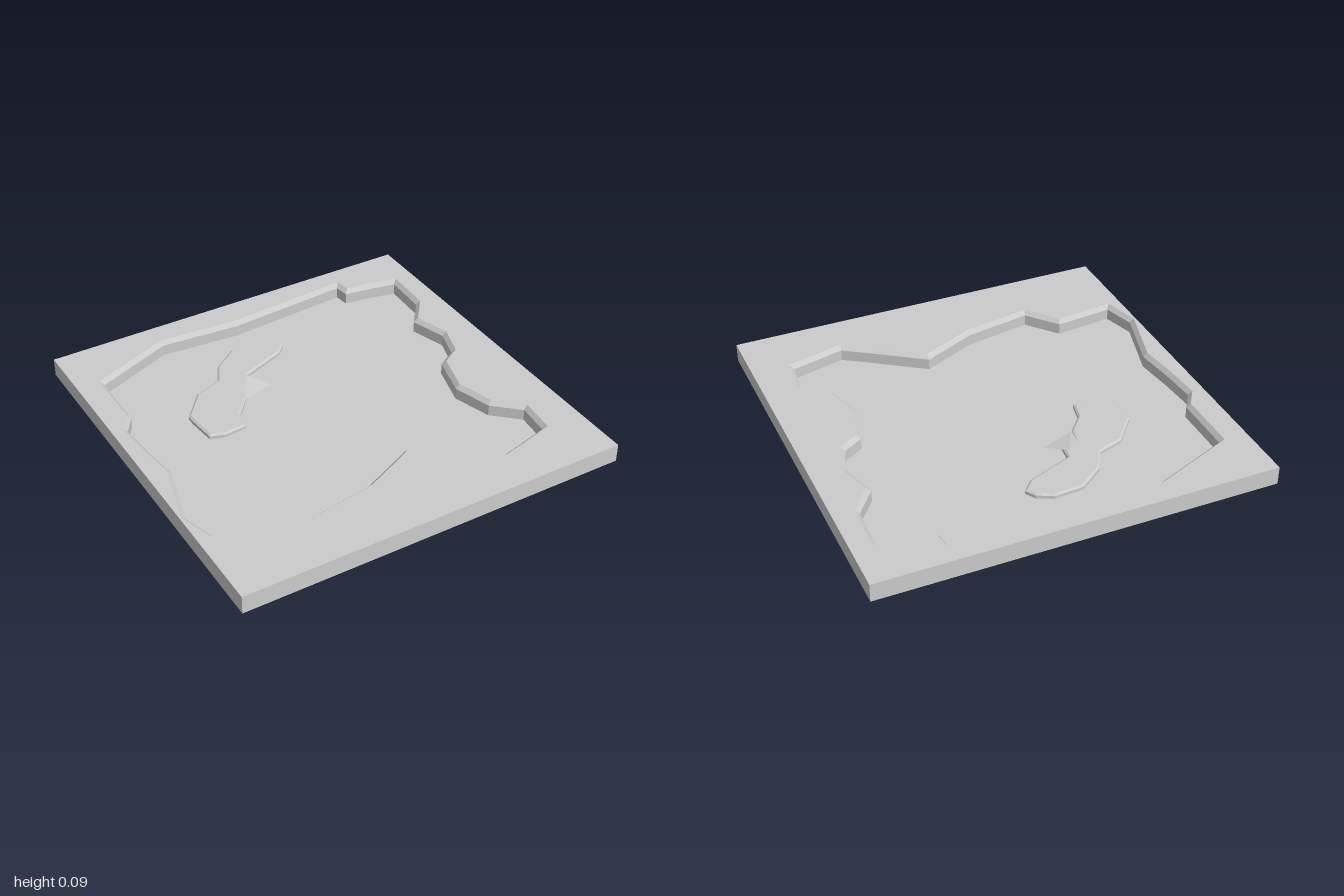
import * as THREE from 'three';

const TOP = 0.094, FLOOR = 0.014;
const material = new THREE.MeshStandardMaterial({ color: 0xcccccc, flatShading: true });

// Outlines as [x, z], clockwise seen from above
const square = [[-1, -1], [1, -1], [1, 1], [-1, 1]];
const shore = [
  [-0.88, -0.71], [-0.46, -0.88], [-0.05, -0.845], [0.61, -0.895], [0.62, -0.815],
  [0.75, -0.795], [0.9, -0.765], [0.89, -0.51], [0.79, -0.38], [0.845, -0.2],
  [0.795, -0.04], [0.695, 0.02], [0.64, 0.22], [0.695, 0.405], [0.825, 0.525],
  [0.805, 0.715], [0.51, 0.79], [0.36, 0.69], [0.13, 0.53], [-0.14, 0.655],
  [-0.5, 0.72], [-0.63, 0.565], [-0.935, 0.595], [-0.99, 0.41], [-0.9, 0.09],
  [-0.925, -0.11], [-0.94, -0.3], [-0.88, -0.39],
];
const islandEdge = [
  [-0.595, -0.3], [-0.475, -0.445], [-0.34, -0.49], [-0.28, -0.6], [-0.15, -0.695],
  [0, -0.705], [0.08, -0.665], [0.11, -0.615], [0.055, -0.555], [-0.18, -0.465],
  [-0.19, -0.38], [-0.27, -0.37], [-0.285, -0.29], [-0.37, -0.19], [-0.39, -0.095],
  [-0.51, -0.085], [-0.58, -0.11], [-0.595, -0.26],
];

// Moves every edge of an outline inwards by d
function inset(loop, d) {
  const n = loop.length;
  const normal = (a, b) => new THREE.Vector2(a[1] - b[1], b[0] - a[0]).normalize();
  return loop.map((p, i) => {
    const n1 = normal(loop[(i + n - 1) % n], p);
    const n2 = normal(p, loop[(i + 1) % n]);
    const k = d / Math.max(0.5, 1 + n1.dot(n2));
    return [p[0] + (n1.x + n2.x) * k, p[1] + (n1.y + n2.y) * k];
  });
}

function add(group, name, geometry) {
  const mesh = new THREE.Mesh(geometry, material);
  mesh.name = name;
  group.add(mesh);
  return mesh;
}

function triangles(points) {
  const geometry = new THREE.BufferGeometry();
  geometry.setAttribute('position', new THREE.Float32BufferAttribute(points.flat(), 3));
  geometry.computeVertexNormals();
  return geometry;
}

// Wall between two matching outlines; faces outwards when a is the lower one
function band(a, ya, b, yb) {
  const points = [];
  a.forEach((p, i) => {
    const j = (i + 1) % a.length;
    const pl = [p[0], ya, p[1]], ql = [a[j][0], ya, a[j][1]];
    const ph = [b[i][0], yb, b[i][1]], qh = [b[j][0], yb, b[j][1]];
    points.push(pl, ph, qh, pl, qh, ql);
  });
  return triangles(points);
}

// Level surface facing up, with an optional hole
function sheet(loop, y, hole) {
  const toVectors = (l) => l.map(([x, z]) => new THREE.Vector2(x, -z));
  const shape = new THREE.Shape(toVectors(loop));
  if (hole) shape.holes.push(new THREE.Path(toVectors(hole)));
  return new THREE.ShapeGeometry(shape).rotateX(-Math.PI / 2).translate(0, y, 0);
}

export function createModel() {
  const model = new THREE.Group();
  model.name = 'terrainTile';

  // Slab
  add(model, 'slabSides', band(square, 0, square, TOP));
  add(model, 'slabTop', sheet(square, TOP, shore));
  add(model, 'slabBottom', sheet(square, 0).rotateX(Math.PI));

  // Sunken basin with a bevelled rim
  const bank = inset(shore, 0.02);
  add(model, 'basinBevel', band(shore, TOP, bank, TOP - 0.022));
  add(model, 'basinWall', band(bank, TOP - 0.022, bank, FLOOR));
  add(model, 'basinFloor', sheet(bank, FLOOR));

  // Low island with a bevelled edge
  const island = new THREE.Group();
  island.name = 'island';
  const crown = inset(islandEdge, 0.01);
  add(island, 'islandSides', band(islandEdge, FLOOR, islandEdge, 0.03));
  add(island, 'islandBevel', band(islandEdge, 0.03, crown, 0.038));
  add(island, 'islandTop', sheet(crown, 0.038));

  // Small pointed spur on the inner bend of the island
  const peak = [-0.2, 0.05, -0.44], tip = [-0.11, 0.022, -0.34];
  const foot = [-0.285, 0.03, -0.29], back = [-0.28, 0.038, -0.39];
  add(island, 'islandSpur', triangles([
    peak, foot, tip, peak, back, foot, peak, tip, back, back, tip, foot,
  ]));
  model.add(island);
  return model;
}
